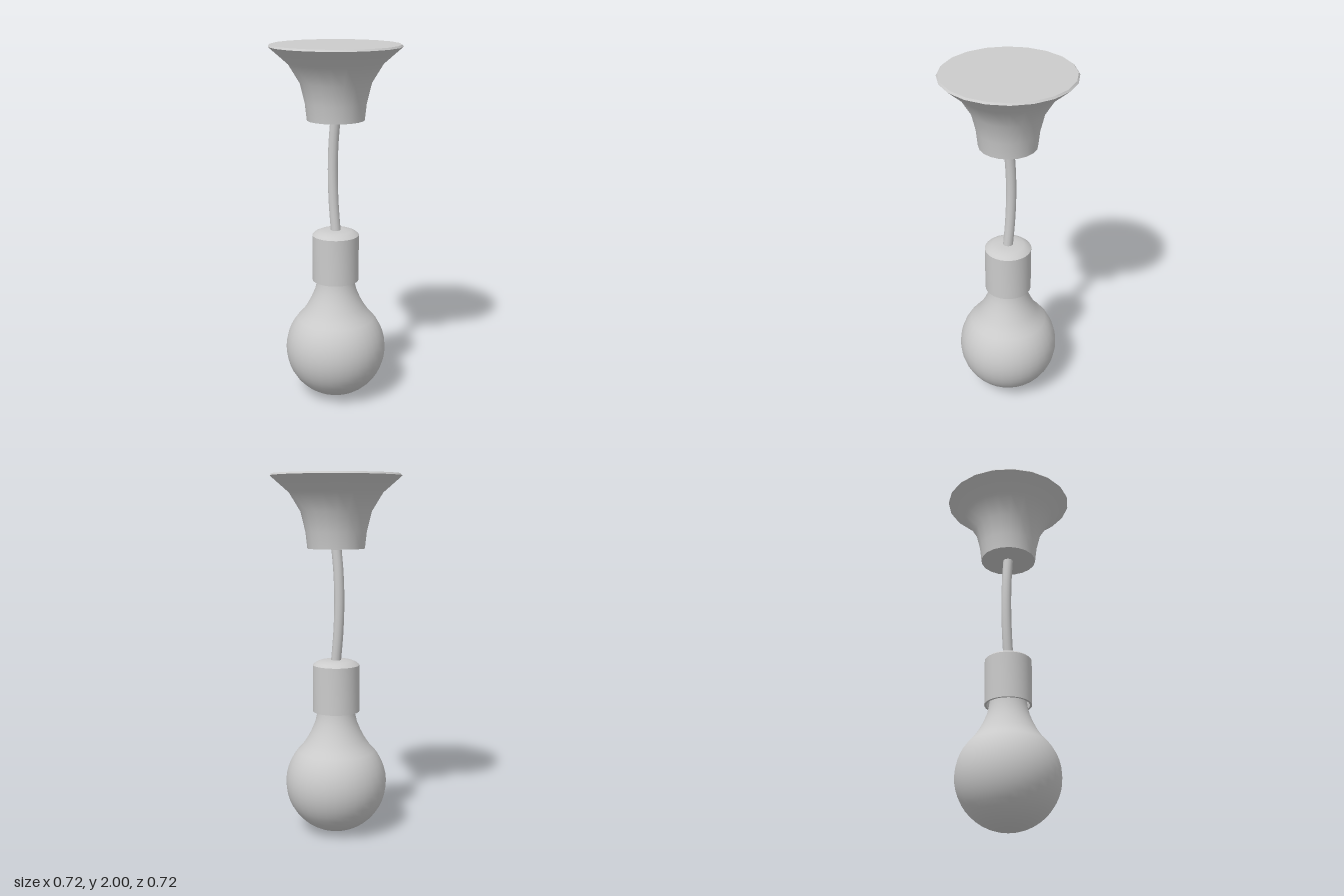
import * as THREE from 'three';
import { toCreasedNormals } from 'three/addons/utils/BufferGeometryUtils.js';

const material = new THREE.MeshStandardMaterial({ color: 0xcccccc });

function addMesh(group, name, geometry) {
  const mesh = new THREE.Mesh(geometry, material);
  mesh.name = name;
  group.add(mesh);
}

// Turned part from [radius, height] pairs, listed so the surface faces outward
function turned(points, sides) {
  const profile = points.map(([r, y]) => new THREE.Vector2(r, y));
  return toCreasedNormals(new THREE.LatheGeometry(profile, sides), 0.65);
}

export function createModel() {
  const model = new THREE.Group();
  model.name = 'pendantLamp';

  // Flared ceiling mount with a thin bevelled rim
  addMesh(model, 'ceilingMount', turned([
    [0, 1.6], [0.157, 1.6], [0.167, 1.69], [0.194, 1.8], [0.255, 1.9],
    [0.358, 1.99], [0.35, 2], [0, 2],
  ], 20));

  // Slightly bowed cord
  const cordPath = new THREE.CatmullRomCurve3([
    [0.96, 0.003], [1.13, -0.014], [1.3, -0.021], [1.46, -0.016], [1.61, -0.001],
  ].map(([y, z]) => new THREE.Vector3(0, y, z)));
  addMesh(model, 'cord', new THREE.TubeGeometry(cordPath, 16, 0.028, 12));

  // Hollow socket, open below, with a low domed cap
  addMesh(model, 'socket', turned([
    [0, 0.93], [0.118, 0.93], [0.118, 0.695], [0.13, 0.695], [0.13, 0.957],
    [0.115, 0.97], [0.09, 0.981], [0.05, 0.985], [0, 0.985],
  ], 32));

  // Round bulb: spherical bowl running into a concave neck
  const bulb = [];
  for (let i = 0; i <= 18; i++) {
    const a = (i / 18) * 2.4;
    bulb.push([0.283 * Math.sin(a), 0.288 - 0.283 * Math.cos(a)]);
  }
  bulb.push([0.162, 0.54], [0.138, 0.585], [0.117, 0.635], [0.104, 0.69], [0.1, 0.75], [0.1, 0.92]);
  addMesh(model, 'bulb', turned(bulb, 32));

  return model;
}
